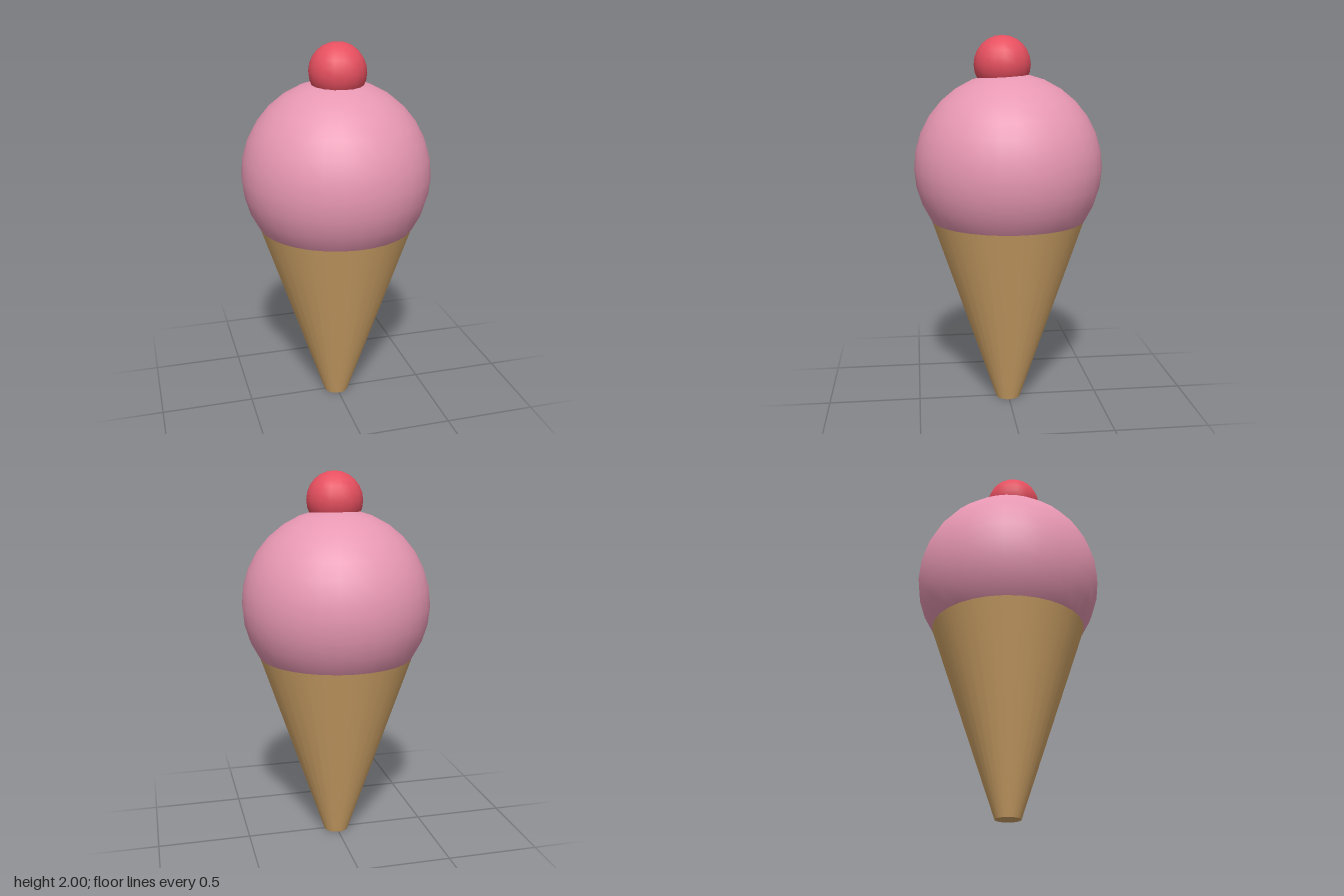
import * as THREE from 'three';

const material = (name, color) => {
  const m = new THREE.MeshStandardMaterial({ color });
  m.name = name;
  return m;
};

export function createModel() {
  const group = new THREE.Group();
  group.name = 'iceCreamCone';

  const add = (name, geometry, mat, y, z = 0) => {
    const mesh = new THREE.Mesh(geometry, mat);
    mesh.name = name;
    mesh.position.set(0, y, z);
    group.add(mesh);
  };

  // Tapered wafer with a small flat foot
  const height = 1.05;
  add('waferCone', new THREE.CylinderGeometry(0.42, 0.067, height, 32), material('wafer', 0xd4a76a), height / 2);

  // Scoop resting in the cone mouth
  add('scoop', new THREE.SphereGeometry(0.5, 32, 16), material('strawberryPink', 0xe898b3), 1.31);

  // Cherry set slightly forward of the top
  add('cherry', new THREE.SphereGeometry(0.15, 16, 12), material('cherryRed', 0xe85060), 1.85, 0.03);

  return group;
}
